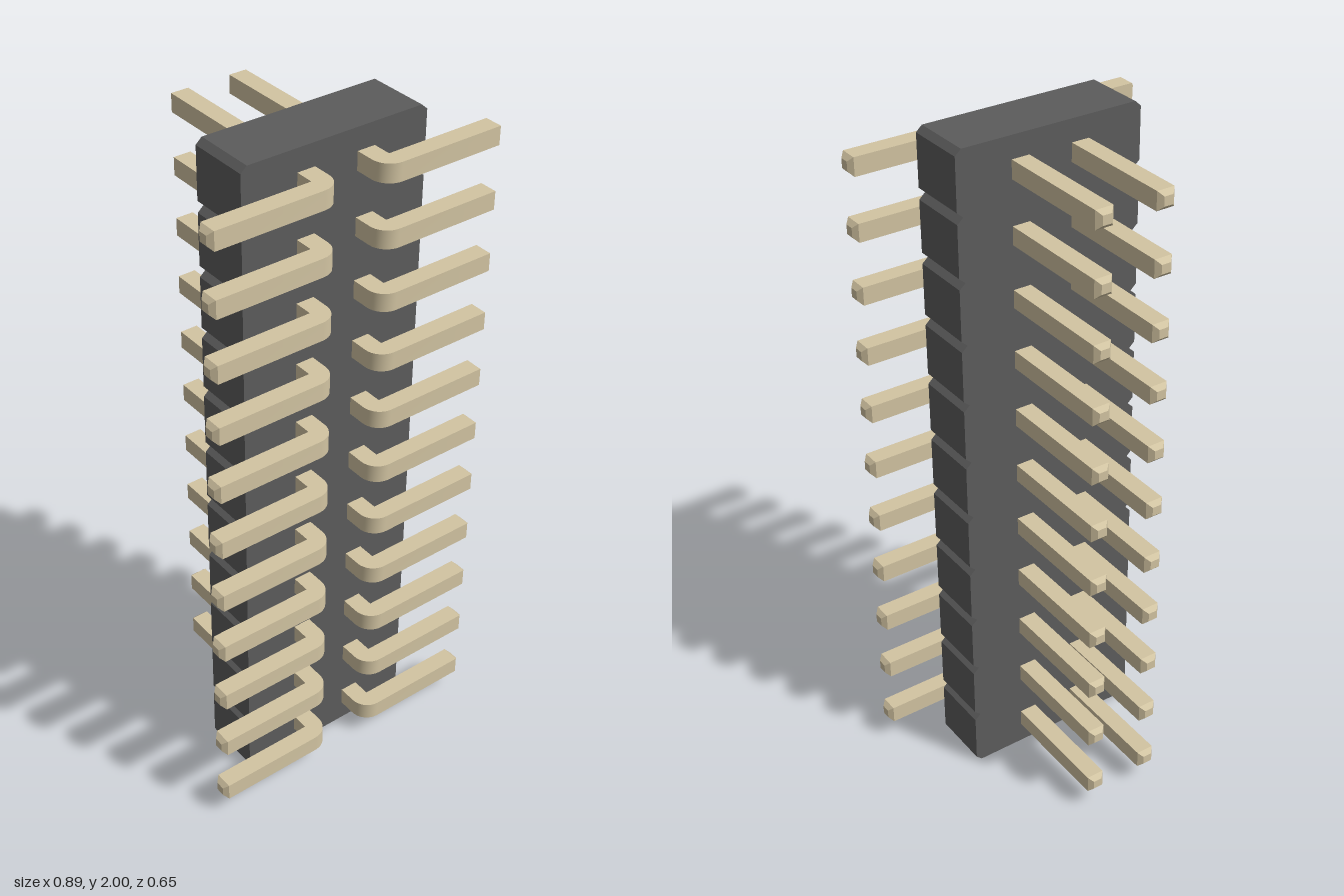
import * as THREE from 'three';
import { toCreasedNormals } from 'three/addons/utils/BufferGeometryUtils.js';

const ROWS = 11, PITCH = 2 / ROWS;

// Housing: one chamfered block per row, joined at V notches, extruded in z
function housingGeometry() {
  const w = 0.281, c = 0.018;
  const right = [];
  for (let i = 0; i < ROWS; i++) {
    const y0 = i * PITCH, y1 = y0 + PITCH;
    right.push([w - c, y0], [w, y0 + c * 0.9], [w, y1 - c * 0.9]);
  }
  right.push([w - c, 2]);
  const left = right.map(([x, y]) => [-x, y]).reverse();
  const shape = new THREE.Shape([...right, ...left].map(([x, y]) => new THREE.Vector2(x, y)));
  return new THREE.ExtrudeGeometry(shape, { depth: 0.181, bevelEnabled: false }).translate(0, 0, 0.035);
}

// Pin: square bar with tapered tips, bent towards +x around a sharp inner corner
function pinGeometry() {
  const t = 0.053, xi = 0.1175, zi = 0.27, back = -0.329, end = 0.444, b = 0.013;
  // each section: outer point (x, z), inner point (x, z), half height
  const sections = [
    [xi - t + b, back, xi - b, back, t / 2 - b],
    [xi - t, back + b, xi, back + b, t / 2],
  ];
  const steps = 8;
  for (let k = 0; k <= steps; k++) {
    const a = (k / steps) * Math.PI / 2;
    sections.push([xi - t * Math.cos(a), zi + t * Math.sin(a), xi, zi, t / 2]);
  }
  sections.push(
    [end - b, zi + t, end - b, zi, t / 2],
    [end, zi + t - b, end, zi + b, t / 2 - b],
  );
  const rings = sections.map(([ox, oz, ix, iz, h]) => [
    new THREE.Vector3(ox, h, oz), new THREE.Vector3(ix, h, iz),
    new THREE.Vector3(ix, -h, iz), new THREE.Vector3(ox, -h, oz),
  ]);

  const pos = [];
  const tri = (p, q, r) => {
    if (new THREE.Triangle(p, q, r).getArea() > 1e-8) for (const v of [p, q, r]) pos.push(v.x, v.y, v.z);
  };
  const quad = (p, q, r, s) => { tri(p, q, r); tri(p, r, s); };
  for (let n = 0; n < rings.length - 1; n++) {
    const A = rings[n], B = rings[n + 1];
    for (let j = 0; j < 4; j++) {
      const k = (j + 1) % 4;
      quad(A[j], B[j], B[k], A[k]);
    }
  }
  quad(...rings[0]);
  quad(...[...rings[rings.length - 1]].reverse());

  const geo = new THREE.BufferGeometry();
  geo.setAttribute('position', new THREE.Float32BufferAttribute(pos, 3));
  return toCreasedNormals(geo, 0.5);
}

export function createModel() {
  const model = new THREE.Group();
  model.name = 'pinHeader';

  const plastic = new THREE.MeshStandardMaterial({ color: 0x5c5c5c });
  const metal = new THREE.MeshStandardMaterial({ color: 0xd2c4a2 });

  const housing = new THREE.Mesh(housingGeometry(), plastic);
  housing.name = 'housing';
  model.add(housing);

  // Two columns of pins; the right column is the left one turned half round
  const geo = pinGeometry();
  for (const [name, turn] of [['leftPin', 0], ['rightPin', Math.PI]]) {
    for (let i = 0; i < ROWS; i++) {
      const pin = new THREE.Mesh(geo, metal);
      pin.name = `${name}${i + 1}`;
      pin.position.y = (i + 0.5) * PITCH;
      pin.rotation.z = turn;
      model.add(pin);
    }
  }
  return model;
}
